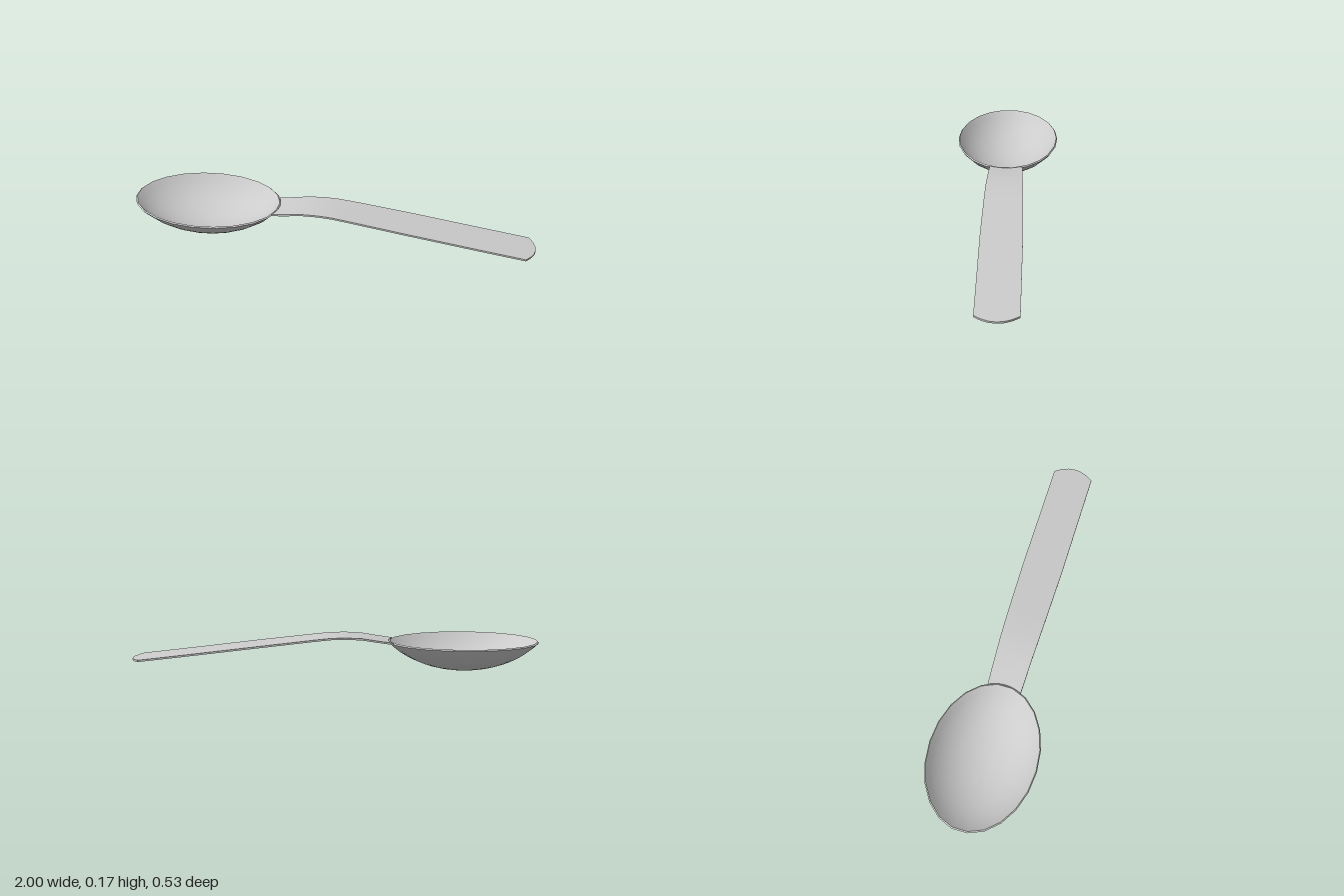
import * as THREE from 'three';
import { toCreasedNormals } from 'three/addons/utils/BufferGeometryUtils.js';

const material = new THREE.MeshStandardMaterial({ color: 0xcccccc });

function addPart(group, name, geometry) {
  const mesh = new THREE.Mesh(toCreasedNormals(geometry, 0.7), material);
  mesh.name = name;
  group.add(mesh);
  return mesh;
}

// Points of a shallow round cap, listed from its lowest point to its rim
function capProfile(radius, bottom, rim, steps) {
  const h = rim - bottom;
  const R = (radius * radius + h * h) / (2 * h);
  const sweep = Math.asin(radius / R);
  return Array.from({ length: steps + 1 }, (_, i) => {
    const a = (sweep * i) / steps;
    return new THREE.Vector2(R * Math.sin(a), bottom + R * (1 - Math.cos(a)));
  });
}

// Oval bowl: outer shell up to the rim, then inner shell back to the middle
function bowlGeometry() {
  const outer = capProfile(0.265, 0, 0.139, 10);
  const inner = capProfile(0.26, 0.008, 0.145, 10).reverse();
  const geometry = new THREE.LatheGeometry([...outer, ...inner], 22);
  geometry.scale(0.37 / 0.265, 1, 1);
  geometry.translate(-0.63, 0, 0);
  return geometry;
}

// Thin strip bent through stations of [x, top height, half width]
function handleGeometry() {
  const stations = [
    [-0.262, 0.145, 0.083], [-0.2, 0.157, 0.086], [-0.13, 0.168, 0.088],
    [-0.05, 0.172, 0.091], [0.02, 0.17, 0.093], [0.1, 0.162, 0.095],
    [0.38, 0.13, 0.1], [0.7, 0.092, 0.1], [1, 0.058, 0.1],
  ];
  const last = stations.length - 1;
  const thickness = 0.009;
  const geometry = new THREE.BoxGeometry(1, 1, 1, last, 1, 6);
  const p = geometry.attributes.position;
  for (let i = 0; i < p.count; i++) {
    const k = Math.round((p.getX(i) + 0.5) * last);
    const t = p.getZ(i) * 2;
    const [x, top, half] = stations[k];
    // The ends curve: one follows the bowl rim, the other is the rounded tip
    const pull = k === last ? 0.04 : k === 0 ? 0.02 : 0;
    const drop = k === last ? 0.004 * t * t : 0;
    p.setXYZ(i, x - pull * t * t, top + drop - (p.getY(i) < 0 ? thickness : 0), half * t);
  }
  return geometry;
}

export function createModel() {
  const spoon = new THREE.Group();
  spoon.name = 'spoon';
  addPart(spoon, 'bowl', bowlGeometry());
  addPart(spoon, 'handle', handleGeometry());
  return spoon;
}
